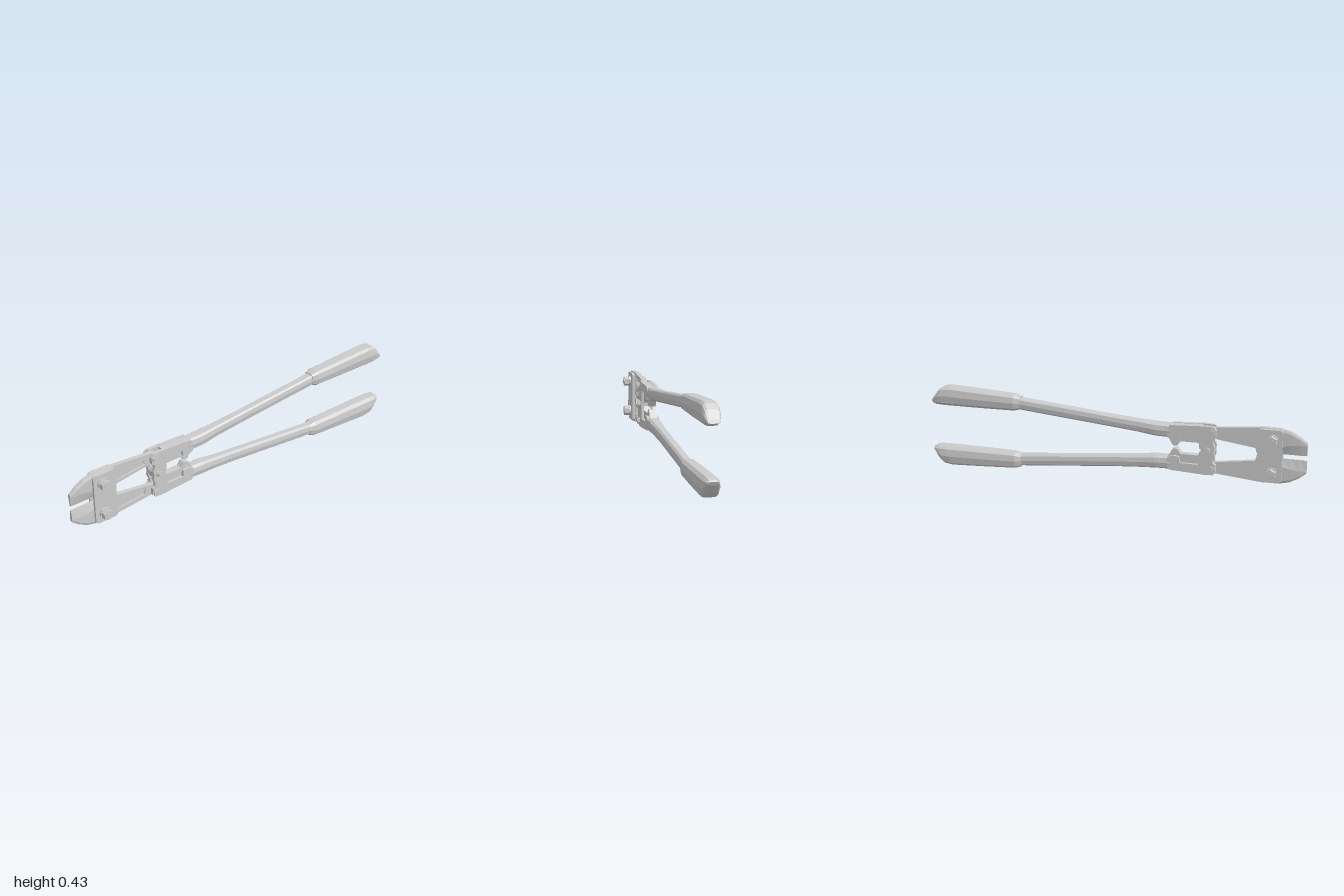
import * as THREE from 'three';

const MID = 0.433; // a lower part sits at y = MID - (upper y)
const material = new THREE.MeshStandardMaterial({ color: 0xcccccc, flatShading: true });

// Flip a geometry to the lower half, keeping its faces outward
function mirrored(geometry) {
  const g = geometry.index ? geometry.toNonIndexed() : geometry.clone();
  const p = g.attributes.position;
  for (let i = 0; i < p.count; i++) p.setY(i, MID - p.getY(i));
  for (let i = 0; i < p.count; i += 3) {
    const b = [p.getX(i + 1), p.getY(i + 1), p.getZ(i + 1)];
    p.setXYZ(i + 1, p.getX(i + 2), p.getY(i + 2), p.getZ(i + 2));
    p.setXYZ(i + 2, ...b);
  }
  g.computeVertexNormals();
  return g;
}

function toPoints(list) {
  return list.map(([x, y]) => new THREE.Vector2(x, y));
}

// Flat plate between two z levels
function plate(outline, z0, z1, hole) {
  const shape = new THREE.Shape(toPoints(outline));
  if (hole) shape.holes.push(new THREE.Path(toPoints(hole)));
  const g = new THREE.ExtrudeGeometry(shape, { depth: z1 - z0, bevelEnabled: false });
  return g.translate(0, 0, z0);
}

// Skin over rings that run toward +x, each counter-clockwise seen from +x
function loft(rings) {
  const n = rings[0].length;
  const index = [];
  for (let r = 0; r < rings.length - 1; r++) {
    for (let i = 0; i < n; i++) {
      const a = r * n + i, b = r * n + (i + 1) % n;
      index.push(a, b, a + n, b, b + n, a + n);
    }
  }
  const last = (rings.length - 1) * n;
  for (let i = 1; i < n - 1; i++) {
    index.push(0, i + 1, i, last, last + i, last + i + 1);
  }
  const g = new THREE.BufferGeometry();
  g.setAttribute('position', new THREE.Float32BufferAttribute(rings.flat(2), 3));
  g.setIndex(index);
  g.computeVertexNormals();
  return g;
}

// Ten-sided bar; section = [xTop, yTop, xBottom, yBottom, halfWidth]
const BAR_RING = [[-0.58, 1], [0.58, 1], [0.87, 0.88], [1, 0.52], [0.87, 0.15],
  [0.5, 0], [-0.5, 0], [-0.87, 0.15], [-1, 0.52], [-0.87, 0.88]];
function bar(sections) {
  return loft(sections.map(([xt, yt, xb, yb, w]) =>
    BAR_RING.map(([u, t]) => [xb + (xt - xb) * t, yb + (yt - yb) * t, u * w])));
}

function cylinderZ(x, y, radius, z0, z1, sides) {
  return new THREE.CylinderGeometry(radius, radius, z1 - z0, sides)
    .rotateX(Math.PI / 2).translate(x, y, (z0 + z1) / 2);
}

export function createModel() {
  const model = new THREE.Group();
  model.name = 'boltCutter';

  function add(parent, name, geometry) {
    const mesh = new THREE.Mesh(geometry, material);
    mesh.name = name;
    parent.add(mesh);
  }

  // Hex bolt with washer, head and shank end on both sides
  function bolt(name, x, y, r, zIn, zOut) {
    const group = new THREE.Group();
    group.name = name;
    add(group, 'shank', cylinderZ(x, y, r * 0.55, -zOut, zOut, 8));
    for (const s of [-1, 1]) {
      const side = (a, b, radius, sides) =>
        cylinderZ(x, y, radius, Math.min(s * a, s * b), Math.max(s * a, s * b), sides);
      add(group, 'washer', side(zIn - 0.004, zIn + (zOut - zIn) / 4, r * 1.1, 10));
      add(group, 'hexHead', side(zIn, zOut - 0.003, r, 6));
    }
    model.add(group);
  }

  // Cutting jaw: thick back, ground down to a thin edge
  const jaw = loft([
    [-1.0, 0.295, 0.282, 0.229, 0.009],
    [-0.965, 0.322, 0.283, 0.228, 0.013],
    [-0.92, 0.346, 0.278, 0.228, 0.015],
    [-0.87, 0.358, 0.265, 0.228, 0.015],
    [-0.78, 0.36, 0.25, 0.228, 0.015],
    [-0.755, 0.357, 0.25, 0.228, 0.012]
  ].map(([x, top, bevel, edge, w]) => [
    [x, top, -w * 0.7], [x, top, w * 0.7], [x, top - 0.012, w], [x, bevel, w],
    [x, edge, 0.003], [x, edge, -0.003], [x, bevel, -w], [x, top - 0.012, -w]
  ]));

  // Jaw arm: flat behind, framed recess in front
  const armOutline = [[-0.77, 0.358], [-0.77, 0.228], [-0.75, 0.228], [-0.745, 0.25],
    [-0.56, 0.275], [-0.51, 0.29], [-0.495, 0.315], [-0.51, 0.334]];
  const armRecess = [[-0.74, 0.332], [-0.585, 0.318], [-0.572, 0.288], [-0.74, 0.268]];

  // Handle bracket: two cheeks, a filled core and a stop
  const cheekOutline = [[-0.55, 0.325], [-0.535, 0.342], [-0.49, 0.344], [-0.31, 0.335],
    [-0.295, 0.3], [-0.3, 0.268], [-0.328, 0.258], [-0.36, 0.262], [-0.365, 0.294], [-0.46, 0.294],
    [-0.465, 0.225], [-0.54, 0.225], [-0.542, 0.24], [-0.532, 0.262], [-0.535, 0.28], [-0.548, 0.29]];
  const coreOutline = [[-0.475, 0.341], [-0.31, 0.333], [-0.295, 0.3], [-0.3, 0.268],
    [-0.325, 0.225], [-0.347, 0.225], [-0.365, 0.25], [-0.455, 0.25], [-0.475, 0.222]];

  // Handle tube and its grip with a slanted end
  const tube = bar([
    [-0.32, 0.334, -0.32, 0.266, 0.034],
    [-0.24, 0.335, -0.23, 0.268, 0.037],
    [-0.14, 0.342, -0.14, 0.28, 0.031],
    [0.0, 0.353, 0.0, 0.293, 0.028],
    [0.3, 0.382, 0.3, 0.321, 0.028],
    [0.53, 0.403, 0.53, 0.343, 0.029]
  ]);
  const grip = bar([
    [0.495, 0.405, 0.5, 0.341, 0.032],
    [0.53, 0.415, 0.53, 0.333, 0.042],
    [0.7, 0.424, 0.7, 0.331, 0.045],
    [0.89, 0.433, 0.93, 0.33, 0.046],
    [0.935, 0.427, 0.972, 0.332, 0.043],
    [0.962, 0.402, 0.992, 0.338, 0.037],
    [0.99, 0.362, 0.998, 0.345, 0.028]
  ]);

  const halfParts = [
    ['jawBlade', jaw],
    ['jawArmBack', plate(armOutline, -0.014, 0)],
    ['jawArmFrame', plate(armOutline, 0, 0.009, armRecess)],
    ['bracketCheekFront', plate(cheekOutline, 0.014, 0.033)],
    ['bracketCheekBack', plate(cheekOutline, -0.033, -0.014)],
    ['bracketCore', plate(coreOutline, -0.018, 0.018)],
    ['handleTube', tube],
    ['handleGrip', grip]
  ];
  for (const half of ['upper', 'lower']) {
    const group = new THREE.Group();
    group.name = half + 'Half';
    for (const [name, g] of halfParts) add(group, name, half === 'upper' ? g : mirrored(g));
    model.add(group);
  }

  // Tie plates holding the two jaws together
  const tieOutline = [[-0.88, 0.09], [-0.865, 0.08], [-0.765, 0.08], [-0.755, 0.09],
    [-0.755, 0.343], [-0.765, 0.353], [-0.87, 0.353], [-0.88, 0.343]];
  add(model, 'tiePlateFront', plate(tieOutline, 0.014, 0.027));
  add(model, 'tiePlateBack', plate(tieOutline, -0.027, -0.014));

  // Centre hinge knuckle and all pivot bolts
  add(model, 'hingeKnuckle', cylinderZ(-0.505, MID / 2, 0.035, -0.033, 0.033, 10));
  bolt('hingeBolt', -0.505, MID / 2, 0.018, 0.033, 0.046);
  for (const y of [0.302, MID - 0.302]) bolt('jawBolt', -0.83, y, 0.027, 0.027, 0.066);
  for (const y of [0.315, MID - 0.315]) bolt('armBolt', -0.53, y, 0.018, 0.033, 0.046);

  return model;
}
